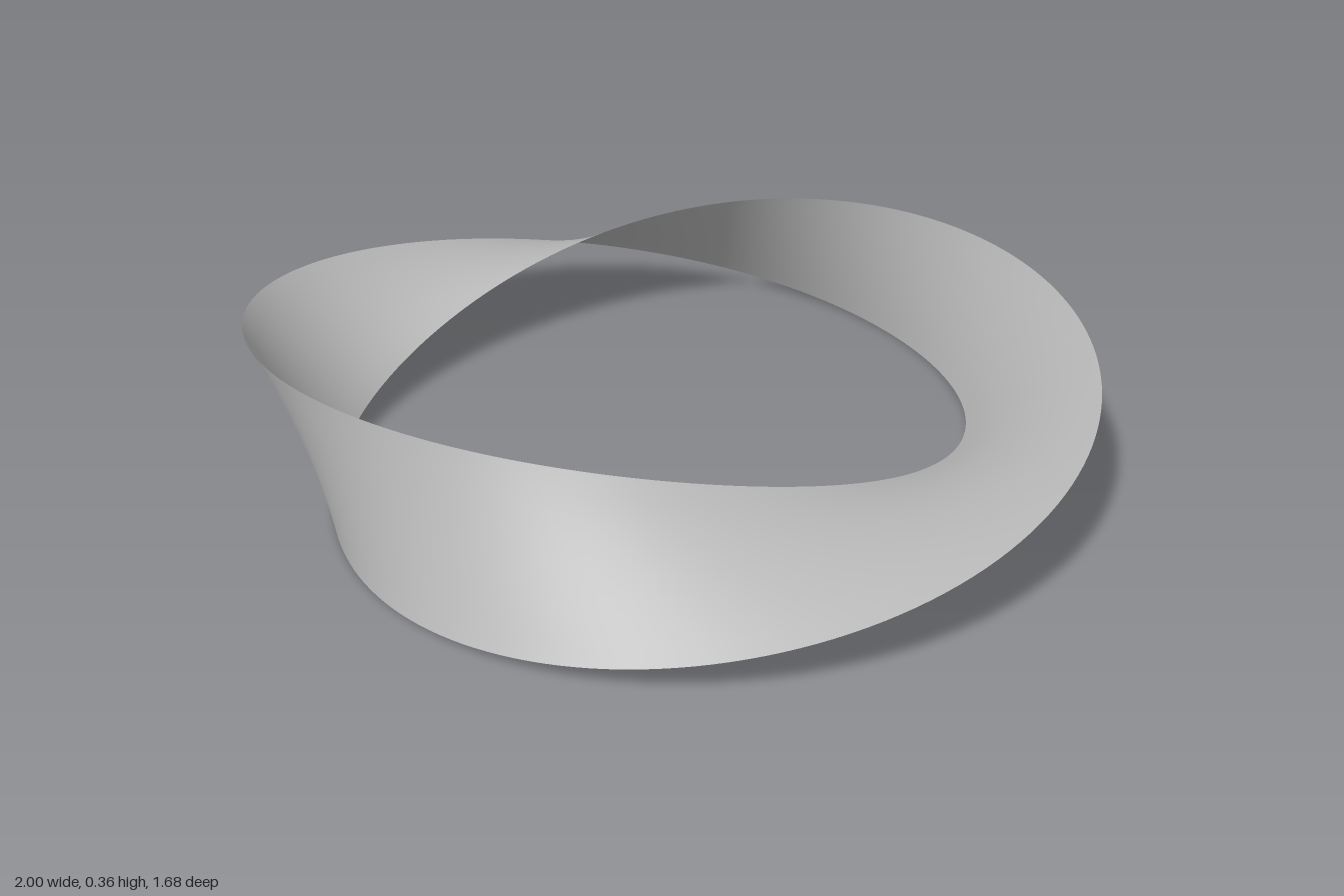
import * as THREE from 'three';
import { mergeVertices } from 'three/addons/utils/BufferGeometryUtils.js';

const RADIUS = 0.82;     // centre line of the ring
const HALF_WIDTH = 0.18; // half the width of the band

// A flat strip bent into a ring that makes one full twist on the way round
function twistedBandGeometry(segments, across) {
  const geometry = new THREE.PlaneGeometry(1, 2, segments, across);
  geometry.deleteAttribute('normal');
  geometry.deleteAttribute('uv');
  const position = geometry.attributes.position;
  for (let i = 0; i < position.count; i++) {
    const angle = position.getX(i) * Math.PI * 2;
    const offset = position.getY(i) * HALF_WIDTH;
    const r = RADIUS + offset * Math.cos(angle);
    position.setXYZ(
      i,
      r * Math.cos(angle),
      HALF_WIDTH - offset * Math.sin(angle),
      r * Math.sin(angle)
    );
  }
  // Weld the ends so the shading runs on without a seam
  const welded = mergeVertices(geometry, 1e-4);
  welded.computeVertexNormals();
  return welded;
}

export function createModel() {
  const group = new THREE.Group();
  group.name = 'twistedRing';

  const grey = new THREE.MeshStandardMaterial({ color: 0xb8b8b8, side: THREE.DoubleSide });
  grey.name = 'grey';

  const band = new THREE.Mesh(twistedBandGeometry(192, 8), grey);
  band.name = 'twistedBand';
  group.add(band);

  return group;
}
